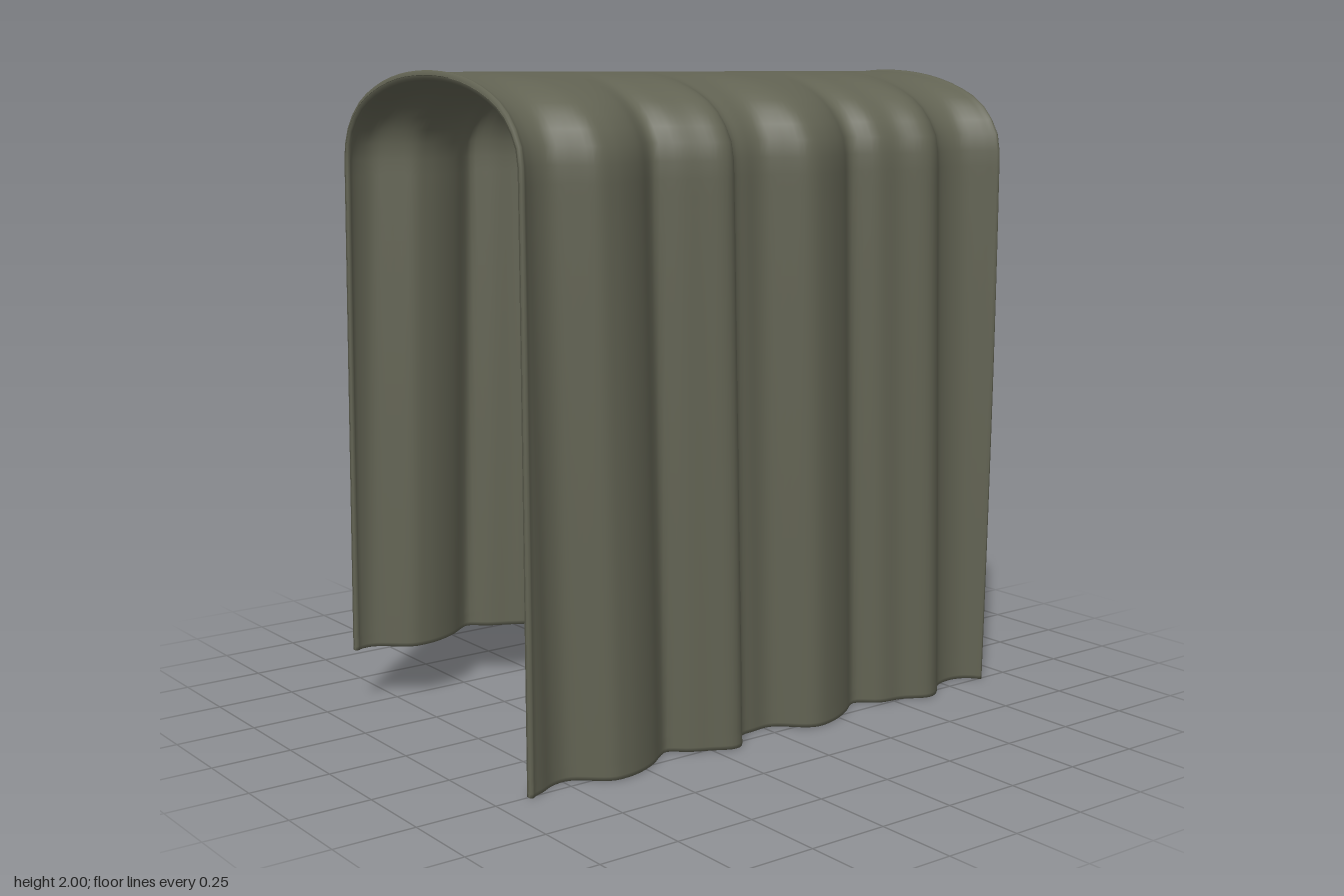
import * as THREE from 'three';

// Fold profile across the cloth: [x, sideways shift in z]
const FOLDS = [
  [-0.95, 0.02], [-0.89, 0], [-0.83, -0.03], [-0.77, -0.03], [-0.68, 0.04], [-0.62, 0.045],
  [-0.56, 0.03], [-0.5, 0], [-0.44, -0.045], [-0.41, -0.055], [-0.36, -0.015], [-0.3, 0.015],
  [-0.24, 0.045], [-0.2, 0.035], [-0.15, -0.03], [-0.1, -0.04], [-0.02, -0.04], [0.06, 0.03],
  [0.1, 0.045], [0.16, 0.035], [0.22, 0.01], [0.27, -0.02], [0.31, -0.05], [0.34, -0.055],
  [0.4, -0.01], [0.48, 0.005], [0.56, 0.045], [0.61, 0.03], [0.68, -0.03], [0.78, -0.035],
  [0.86, 0.03], [0.9, 0.035], [0.95, 0.03],
];

// Smooth interpolation of the fold profile
function fold(x) {
  const last = FOLDS.length - 1;
  let k = 0;
  while (k < last - 1 && x > FOLDS[k + 1][0]) k++;
  const slope = (i) => {
    const a = FOLDS[Math.max(0, i - 1)], b = FOLDS[Math.min(last, i + 1)];
    return (b[1] - a[1]) / (b[0] - a[0]);
  };
  const [x0, w0] = FOLDS[k], [x1, w1] = FOLDS[k + 1];
  const h = x1 - x0, t = (x - x0) / h, t2 = t * t, t3 = t2 * t;
  return (2 * t3 - 3 * t2 + 1) * w0 + (t3 - 2 * t2 + t) * h * slope(k)
    + (3 * t2 - 2 * t3) * w1 + (t3 - t2) * h * slope(k + 1);
}

// Centre line from the back hem, over the arch, to the front hem: (z, y)
function drapePath() {
  const half = [[0.15, 1.975], [0.28, 1.945], [0.39, 1.895], [0.455, 1.83], [0.482, 1.76], [0.485, 1.6], [0.485, 1.0]];
  const v = (z, y) => new THREE.Vector2(z, y);
  const curve = new THREE.SplineCurve([
    v(-0.485, 0.18), ...half.slice().reverse().map(([z, y]) => v(-z, y)),
    v(0, 1.985), ...half.map(([z, y]) => v(z, y)), v(0.485, 0),
  ]);
  const ts = [0, 0.003, 0.008];
  for (let i = 1; i < 90; i++) ts.push(i / 90);
  ts.push(0.992, 0.997, 1);
  return ts.map((t) => {
    const p = curve.getPointAt(t), d = curve.getTangentAt(t);
    return { z: p.x, y: p.y, nz: -d.y, ny: d.x };
  });
}

// Columns across x with half thickness; a thicker rolled bead closes each side
function columns() {
  const bead = [[0.889, 0.0005], [0.887, 0.009], [0.881, 0.014], [0.874, 0.013], [0.869, 0.0095]];
  const cols = bead.map(([x, r]) => [-x, r]);
  for (let i = 0; i <= 114; i++) cols.push([-0.858 + (1.716 * i) / 114, 0.009]);
  return cols.concat(bead.reverse());
}

function drapeGeometry() {
  const path = drapePath(), cols = columns();
  // Outer side runs back to front, inner side returns
  const ring = [...path.map((p) => [p, 1]), ...path.slice().reverse().map((p) => [p, -1])];
  const n = ring.length, pos = [], idx = [];
  for (const [x, r] of cols) {
    for (const [p, side] of ring) {
      const drop = Math.sign(p.z) * (2 - p.y) / 2;      // folds lean as they fall
      const strength = Math.min(1, Math.abs(p.z) / 0.4); // folds fade out over the top
      const shift = fold(x - 0.05 * drop) * strength;
      const flare = 1 + 0.006 * Math.abs(drop);
      // Inner normal points towards the inside of the arch
      pos.push(x * flare, p.y + side * r * p.ny, p.z + shift + side * r * p.nz);
    }
  }
  for (let i = 0; i < cols.length - 1; i++) {
    for (let j = 0; j < n; j++) {
      const k = (j + 1) % n;
      const a = i * n + j, b = i * n + k, c = a + n, d = b + n;
      idx.push(a, b, c, b, d, c);
    }
  }
  const geo = new THREE.BufferGeometry();
  geo.setAttribute('position', new THREE.Float32BufferAttribute(pos, 3));
  geo.setIndex(idx);
  geo.computeVertexNormals();
  return geo;
}

export function createModel() {
  const group = new THREE.Group();
  group.name = 'drapedCloth';
  const fabric = new THREE.MeshStandardMaterial({ color: 0x626353, side: THREE.DoubleSide });
  fabric.name = 'oliveFabric';
  const cloth = new THREE.Mesh(drapeGeometry(), fabric);
  cloth.name = 'foldedCloth';
  group.add(cloth);
  return group;
}
